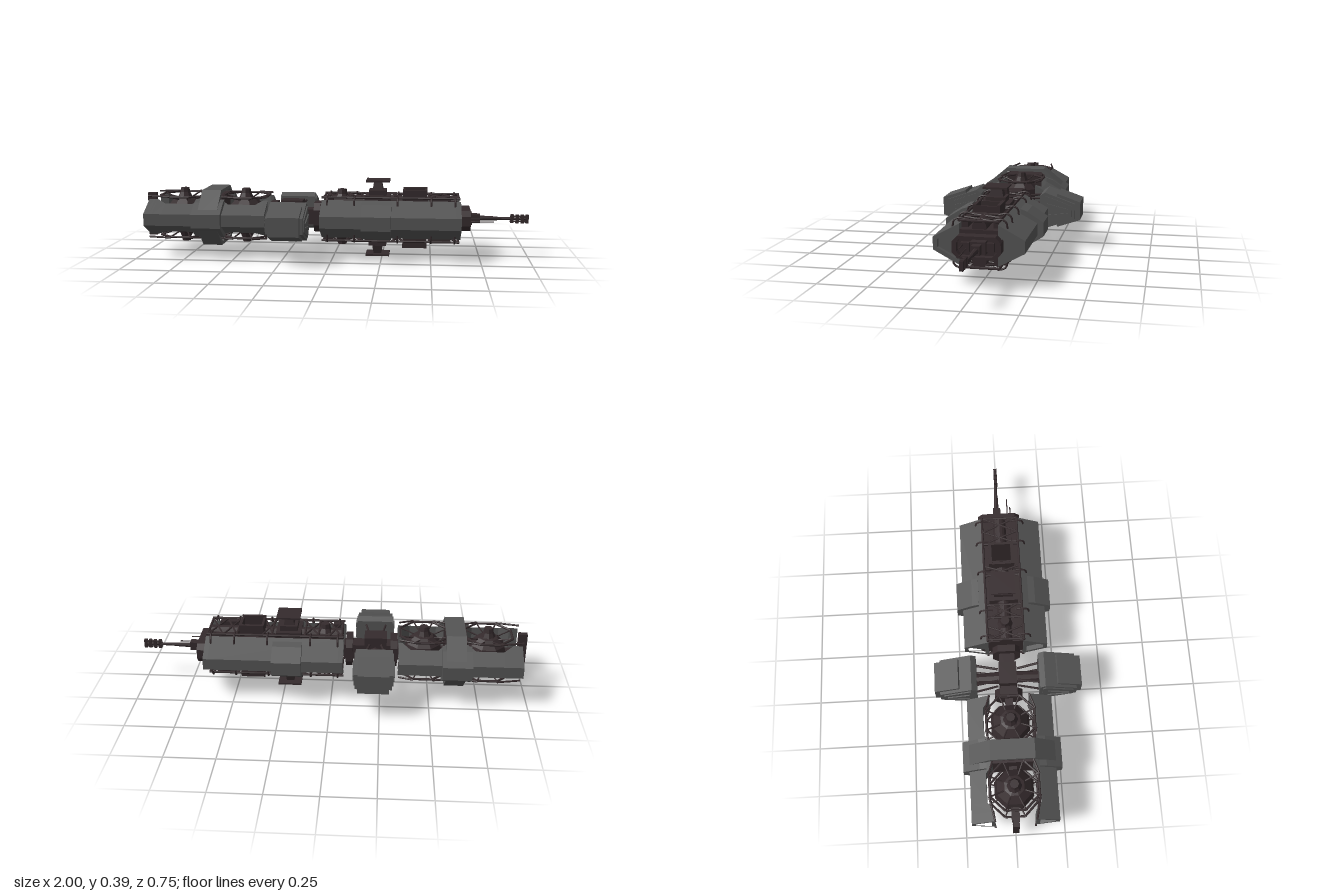
import * as THREE from 'three';

const armor = new THREE.MeshStandardMaterial({ color: 0x555555, flatShading: true });
const frame = new THREE.MeshStandardMaterial({ color: 0x352b2d, flatShading: true });

export function createModel() {
  const ship = new THREE.Group();
  ship.name = 'ship';
  ship.position.y = 0.197; // everything below is measured from the long axis

  const add = (name, geo, mat = frame, parent = ship) => {
    const m = new THREE.Mesh(geo, mat);
    m.name = name;
    parent.add(m);
    return m;
  };
  // box from its limits on each axis
  const box = (name, x0, x1, y0, y1, z0, z1, mat = frame) =>
    add(name, new THREE.BoxGeometry(x1 - x0, Math.abs(y1 - y0), Math.abs(z1 - z0)), mat)
      .position.set((x0 + x1) / 2, (y0 + y1) / 2, (z0 + z1) / 2);
  const rod = (name, a, b, r = 0.004, r2 = r, sides = 6) => {
    const p = new THREE.Vector3(...a), d = new THREE.Vector3(...b).sub(p);
    const m = add(name, new THREE.CylinderGeometry(r2, r, d.length(), sides));
    m.position.copy(p).addScaledVector(d, 0.5);
    m.quaternion.setFromUnitVectors(new THREE.Vector3(0, 1, 0), d.normalize());
    return m;
  };
  // [z, y] half outline, mirrored above and below the axis
  const outline = (half, s) => {
    const pts = [...half, ...half.slice().reverse().map(([z, y]) => [z, -y])];
    return pts.map(([z, y]) => new THREE.Vector2(-z * s, y));
  };
  // outline extruded along x, optionally with a hole
  const prismGeo = (pts, x0, x1, hole) => {
    const shape = new THREE.Shape(pts);
    if (hole) shape.holes.push(new THREE.Path(hole));
    return new THREE.ExtrudeGeometry(shape, { depth: x1 - x0, bevelEnabled: false })
      .rotateY(Math.PI / 2).translate(x0, 0, 0);
  };

  const hullY = z => 0.03 + (0.215 - z) * 0.54;
  const hullHalf = zi => [[zi, hullY(zi)], [0.215, 0.03]];
  // hull armour whose inner edge runs from z0 to z1
  const hullPiece = (x0, x1, z0, z1, s) => {
    const g = prismGeo(outline(hullHalf(z0), s), x0, x1), p = g.attributes.position;
    for (let i = 0; i < p.count; i++) {
      if (p.getX(i) > x1 - 1e-4 && Math.abs(p.getZ(i)) < 0.2) {
        p.setZ(i, s * z1);
        p.setY(i, Math.sign(p.getY(i)) * hullY(z1));
      }
    }
    g.computeVertexNormals();
    add('hullArmor', g, armor);
  };
  // recessed rim at the open end of the armour
  const rim = (x0, x1, zi, s) => {
    const hole = [[zi + 0.018, hullY(zi) - 0.03], [0.195, 0.02]];
    add('hullRim', prismGeo(outline(hullHalf(zi), s), x0, x1, outline(hole, s)), armor);
  };

  for (const s of [1, -1]) {
    // Front hull
    hullPiece(-0.035, 0.625, 0.09, 0.09, s);
    rim(-0.06, -0.035, 0.09, s);
    rim(0.625, 0.65, 0.09, s);
    // Rear hull, cut back around the two tanks
    const edge = [[-0.935, 0.1], [-0.92, 0.1], [-0.87, 0.135], [-0.73, 0.135], [-0.69, 0.1], [-0.58, 0.1],
      [-0.54, 0.135], [-0.4, 0.135], [-0.36, 0.1]];
    for (let i = 1; i < edge.length; i++) hullPiece(edge[i - 1][0], edge[i][0], edge[i - 1][1], edge[i][1], s);
    rim(-0.965, -0.935, 0.1, s);
    rim(-0.36, -0.34, 0.1, s);
    // Side collars
    for (const [x0, x1] of [[0.15, 0.3], [-0.71, -0.56]])
      add('sideCollar', prismGeo(outline([[0.13, 0.098], [0.165, 0.086], [0.245, 0.035]], s), x0, x1), armor);

    // Side pod: wide inner shell, narrower cover, ridged end faces
    add('podShell', prismGeo(outline([[0.16, 0.08], [0.187, 0.098], [0.348, 0.04]], s), -0.31, -0.125), armor);
    add('podCover', prismGeo(outline([[0.245, 0.07], [0.253, 0.09], [0.375, 0.048]], s), -0.295, -0.14), armor);
    for (const x of [-0.316, -0.131]) {
      add('podInset', prismGeo(outline([[0.175, 0.065], [0.19, 0.08], [0.33, 0.03]], s), x, x + 0.012), armor);
      for (const v of [1, -1]) {
        const wedge = [[0.2, 0.04], [0.2, 0.022], [0.31, 0.008], [0.31, 0.014]];
        add('podRidge', prismGeo(wedge.map(([z, y]) => new THREE.Vector2(-z * s, y * v)), x - 0.006, x + 0.018), armor);
      }
    }
    // Pod arms
    rod('podArm', [-0.222, 0, 0], [-0.222, 0, s * 0.18], 0.035, 0.025, 8);
    for (const d of [1, -1]) for (const v of [1, -1])
      rod('podStrut', [-0.222 + d * 0.03, v * 0.05, s * 0.05], [-0.222 + d * 0.055, v * 0.06, s * 0.18], 0.006);
  }

  // Rear armour band, a closed octagonal ring
  const ring = [[-0.245, 0.028], [-0.11, 0.144], [0.11, 0.144], [0.245, 0.028]];
  const ringIn = ring.map(([z, y]) => [z * 0.88, y * 0.88]);
  add('rearBand', prismGeo(outline(ring, 1), -0.68, -0.58, outline(ringIn, 1)), armor);

  // Core: rear spine, middle joint and front decks around the open well
  box('rearCore', -0.69, -0.58, -0.11, 0.11, -0.1, 0.1);
  box('rearSpine', -0.96, -0.34, -0.02, 0.02, -0.02, 0.02);
  box('sternFin', -1, -0.955, -0.113, 0.113, -0.015, 0.015);
  box('jointBlock', -0.34, -0.06, -0.04, 0.04, -0.04, 0.04);
  box('jointHub', -0.28, -0.165, -0.085, 0.085, -0.045, 0.045);
  for (const x of [-0.335, -0.105])
    add('jointCollar', prismGeo(outline([[-0.07, 0.04], [-0.045, 0.075], [0.045, 0.075], [0.07, 0.04]], 1), x, x + 0.035));
  box('frontDeck', -0.05, 0.36, -0.07, 0.07, -0.092, 0.092);
  box('bowDeck', 0.475, 0.645, -0.07, 0.07, -0.092, 0.092);
  for (const s of [1, -1]) box('wellWall', 0.35, 0.485, -0.09, 0.09, s * 0.055, s * 0.092);

  // Spherical tanks with caps
  for (const x of [-0.8, -0.47]) {
    add('tank', new THREE.SphereGeometry(0.105, 8, 6).rotateY(Math.PI / 8)).position.x = x;
    for (const v of [1, -1]) {
      rod('tankNeck', [x, v * 0.09, 0], [x, v * 0.125, 0], 0.04, 0.024, 8);
      rod('tankCap', [x, v * 0.118, 0], [x, v * 0.142, 0], 0.027, 0.022, 8);
      // octagonal frame and braces around each tank
      const corner = i => {
        const a = (i + 0.5) * Math.PI / 4;
        return [x + Math.cos(a) * 0.13, v * 0.105, Math.sin(a) * 0.13];
      };
      for (let i = 0; i < 8; i++) {
        rod('tankFrame', corner(i), corner(i + 1), 0.006);
        rod('tankBrace', corner(i), [x + (corner(i)[0] - x) * 0.45, v * 0.085, corner(i)[2] * 0.45]);
      }
      for (const s of [1, -1]) {
        rod('tankRail', [x - 0.17, v * 0.108, s * 0.1], [x - 0.05, v * 0.108, s * 0.125], 0.005);
        rod('tankRail', [x + 0.05, v * 0.108, s * 0.125], [x + 0.125, v * 0.108, s * 0.1], 0.005);
      }
    }
  }

  // Equipment repeated above and below the front hull
  for (const v of [1, -1]) {
    rod('deckPipe', [-0.055, v * 0.08, 0], [0.35, v * 0.08, 0], 0.034, 0.034, 16);
    rod('deckPipe', [0.49, v * 0.08, 0], [0.635, v * 0.08, 0], 0.034, 0.034, 16);
    rod('hatchBase', [0.038, v * 0.1, 0], [0.038, v * 0.125, 0], 0.04, 0.024, 8);
    rod('hatchCap', [0.038, v * 0.118, 0], [0.038, v * 0.145, 0], 0.027, 0.023, 8);
    // mast with a broad plate
    box('mastBase', 0.16, 0.29, v * 0.07, v * 0.118, -0.075, 0.075);
    box('mastStep', 0.18, 0.27, v * 0.118, v * 0.145, -0.05, 0.05);
    const neck = add('mastNeck', new THREE.CylinderGeometry(0.052, 0.037, 0.05, 4, 1).rotateY(Math.PI / 4).scale(0.75, v, 1));
    neck.geometry = new THREE.CylinderGeometry(v > 0 ? 0.037 : 0.052, v > 0 ? 0.052 : 0.037, 0.05, 4)
      .rotateY(Math.PI / 4).scale(0.75, 1, 1);
    neck.position.set(0.225, v * 0.165, 0);
    box('mastPlate', 0.165, 0.287, v * 0.188, v * 0.197, -0.061, 0.061);
    // rim of the open well
    for (const s of [1, -1]) {
      box('wellRim', 0.355, 0.48, v * 0.1, v * 0.15, s * 0.05, s * 0.066);
      box('wellRim', s > 0 ? 0.468 : 0.355, s > 0 ? 0.48 : 0.367, v * 0.07, v * 0.145, -0.05, 0.05);
      box('sideLocker', 0.5, 0.6, v * 0.07, v * 0.108, s * 0.06, s * 0.09);
      box('sideLocker', -0.04, 0.0, v * 0.07, v * 0.108, s * 0.06, s * 0.09);
      rod('sideRail', [-0.06, v * 0.112, s * 0.093], [0.645, v * 0.112, s * 0.093], 0.006);
      // bent pipes gripping the armour
      for (const x of [-0.03, 0.11, 0.33, 0.5, 0.62]) {
        const path = new THREE.CatmullRomCurve3([[0.06, 0.11], [0.1, 0.117], [0.122, 0.105], [0.128, 0.074]]
          .map(([z, y]) => new THREE.Vector3(x, v * y, s * z)));
        add('gripPipe', new THREE.TubeGeometry(path, 8, 0.005, 6));
      }
    }
    // crossed braces over the decks
    for (const [a, b] of [[-0.05, 0.02], [0.06, 0.15], [0.3, 0.36], [0.49, 0.56], [0.56, 0.64]])
      for (const s of [1, -1]) rod('deckBrace', [a, v * 0.11, s * 0.09], [b, v * 0.11, -s * 0.09], 0.005);
    for (const x of [-0.05, 0.07, 0.14, 0.31, 0.49, 0.64])
      rod('deckBeam', [x, v * 0.11, -0.093], [x, v * 0.11, 0.093], 0.006);
  }

  // Nose: recessed octagonal housing
  const nose = k => outline([[-0.113 * k, 0.025 * k], [-0.088 * k, 0.052 * k], [0.088 * k, 0.052 * k], [0.113 * k, 0.025 * k]], 1);
  add('noseBlock', prismGeo(nose(1), 0.64, 0.668));
  add('noseRim', prismGeo(nose(1), 0.668, 0.7, nose(0.82)));
  box('noseUnit', 0.66, 0.69, -0.025, 0.02, 0.035, 0.075);
  box('noseUnit', 0.66, 0.685, -0.02, 0.02, -0.08, -0.04);

  // Bow gun: mount, tapering body, long barrels and a ringed muzzle
  box('gunMount', 0.66, 0.71, -0.03, 0.03, -0.045, 0.025);
  box('gunBody', 0.7, 0.752, -0.022, 0.022, -0.028, 0.012);
  rod('gunSleeve', [0.74, 0, -0.01], [0.84, 0, -0.008], 0.014, 0.01, 8);
  rod('gunBarrel', [0.8, 0, -0.009], [0.995, 0, -0.005], 0.009, 0.007, 8);
  for (const x of [0.908, 0.934, 0.96, 0.984]) box('muzzleRing', x, x + 0.016, -0.022, 0.022, -0.014, 0.004);
  for (const y of [-0.013, 0.013]) rod('muzzleTube', [0.905, y, -0.005], [0.998, y, -0.005], 0.005);
  rod('sensorRod', [0.67, -0.01, 0.05], [0.82, -0.01, 0.05], 0.003);
  rod('sensorRod', [0.67, 0.01, 0.065], [0.76, 0.01, 0.065], 0.003);

  const model = new THREE.Group();
  model.add(ship);
  return model;
}
